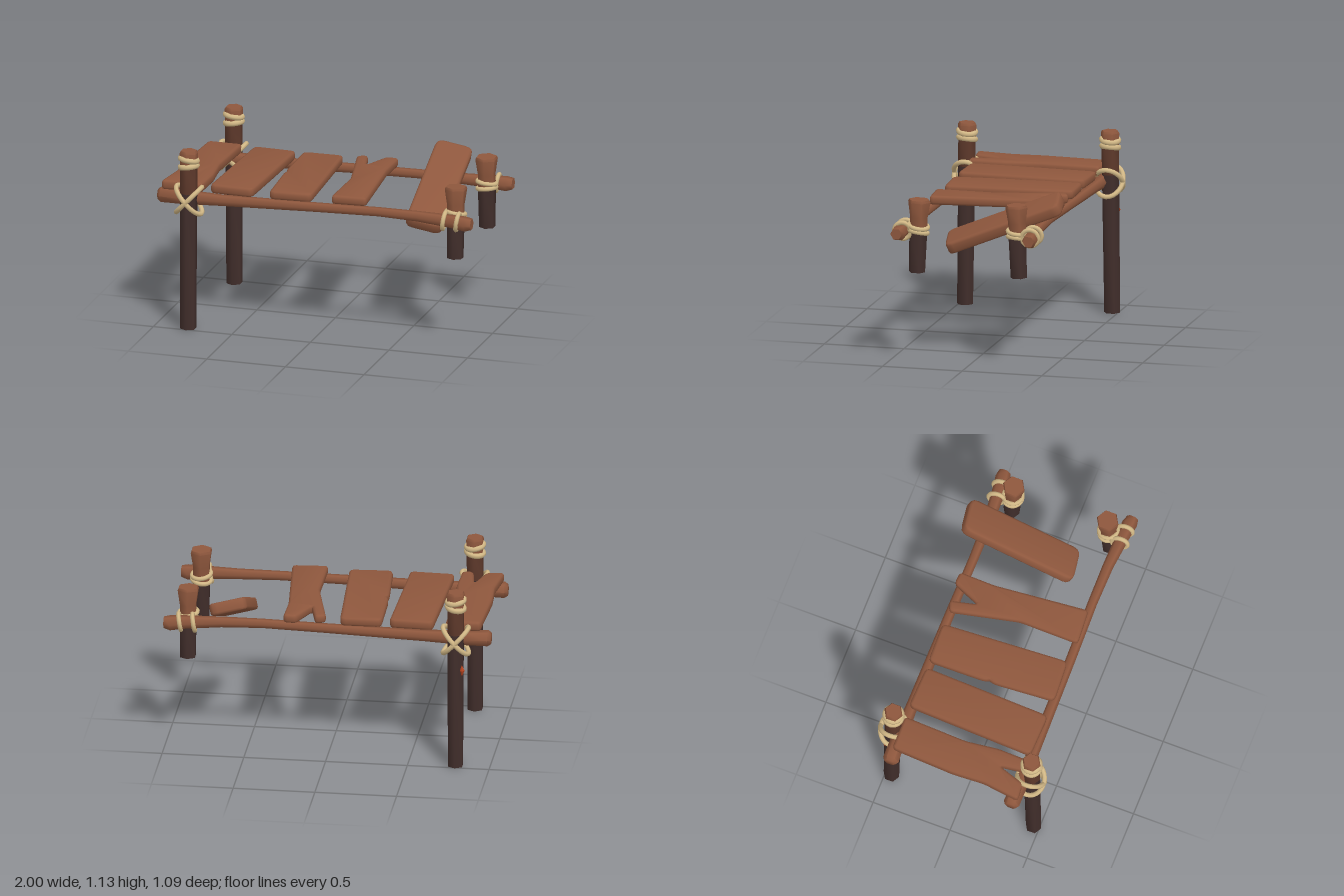
import * as THREE from 'three';
import { toCreasedNormals } from 'three/addons/utils/BufferGeometryUtils.js';

const material = (name, color) => {
  const m = new THREE.MeshStandardMaterial({ color });
  m.name = name;
  return m;
};

export function createModel() {
  const model = new THREE.Group();
  model.name = 'brokenDock';
  const wood = material('warm wood', 0x8e573d);
  const midWood = material('damp wood', 0x5e392b);
  const darkWood = material('soaked wood', 0x412e2b);
  const ropeTan = material('rope', 0xd2b886);
  const red = material('red', 0xb5431f);

  const add = (parent, name, geometry, mat) => {
    const mesh = new THREE.Mesh(geometry, mat);
    mesh.name = name;
    parent.add(mesh);
    return mesh;
  };

  // Six-sided turned section from [radius, y] points, closed at both ends
  const turned = (points) => {
    const profile = [[0, points[0][1]], ...points, [0, points[points.length - 1][1]]];
    const g = new THREE.LatheGeometry(profile.map(([r, y]) => new THREE.Vector2(r, y)), 6);
    return toCreasedNormals(g, 1.1);
  };

  // Closed rope loop: an ellipse spanned by the half axes u and v
  const rope = (parent, name, c, u, v, thickness) => {
    const points = [];
    for (let i = 0; i < 12; i++) {
      const a = (i / 12) * Math.PI * 2;
      points.push(new THREE.Vector3(...c.map((k, j) => k + u[j] * Math.cos(a) + v[j] * Math.sin(a))));
    }
    const curve = new THREE.CatmullRomCurve3(points, true);
    add(parent, name, new THREE.TubeGeometry(curve, 28, thickness, 7, true), ropeTan);
  };

  // Rounded plank from an [x, z] outline, centred on y = 0
  const plank = (name, outline, thickness, radius = 0.035) => {
    const p = outline.map(([x, z]) => new THREE.Vector2(x, z));
    const shape = new THREE.Shape();
    p.forEach((corner, i) => {
      const toward = (q) => {
        const d = q.clone().sub(corner);
        return corner.clone().add(d.setLength(Math.min(radius, d.length() * 0.45)));
      };
      const a = toward(p[(i + p.length - 1) % p.length]);
      const b = toward(p[(i + 1) % p.length]);
      if (i === 0) shape.moveTo(a.x, a.y);
      else shape.lineTo(a.x, a.y);
      shape.quadraticCurveTo(corner.x, corner.y, b.x, b.y);
    });
    const bevel = 0.016;
    const g = new THREE.ExtrudeGeometry(shape, {
      depth: thickness - 2 * bevel, bevelSize: bevel, bevelThickness: bevel,
      bevelOffset: -bevel, bevelSegments: 2, curveSegments: 3,
    });
    g.translate(0, 0, bevel - thickness / 2).rotateX(Math.PI / 2);
    return add(model, name, toCreasedNormals(g, 0.8), wood);
  };

  // Rail stations: x, y, z, radius
  const stations = [
    [-1, 0.815, 0.392, 0.036], [-0.98, 0.815, 0.392, 0.05], [-0.85, 0.813, 0.397, 0.046],
    [-0.6, 0.815, 0.397, 0.036], [0, 0.83, 0.395, 0.03], [0.4, 0.838, 0.388, 0.029],
    [0.65, 0.835, 0.39, 0.033], [0.88, 0.828, 0.405, 0.042], [0.96, 0.822, 0.412, 0.047],
    [1, 0.825, 0.415, 0.036],
  ];
  const rail = (side) => {
    const n = stations.length - 1;
    const g = new THREE.CylinderGeometry(1, 1, 1, 6, n).rotateZ(-Math.PI / 2);
    const pos = g.attributes.position;
    for (let i = 0; i < pos.count; i++) {
      const [x, y, z, r] = stations[Math.round((pos.getX(i) + 0.5) * n)];
      pos.setXYZ(i, x, y + pos.getY(i) * r, side * z + pos.getZ(i) * r);
    }
    add(model, side > 0 ? 'frontRail' : 'backRail', toCreasedNormals(g, 1.1), wood);
  };

  for (const side of [1, -1]) {
    const where = side > 0 ? 'front' : 'back';
    rail(side);

    // Tall post, soaked below and dry at the top
    const tall = new THREE.Group();
    tall.name = where + 'TallPost';
    tall.position.set(-0.79, 0, side * 0.462);
    tall.rotation.x = -side * 0.012;
    model.add(tall);
    add(tall, 'postBase', turned([[0.05, 0], [0.054, 0.86]]), darkWood);
    add(tall, 'postMiddle', turned([[0.054, 0.86], [0.055, 1.03]]), midWood);
    add(tall, 'postTop', turned([[0.055, 1.03], [0.058, 1.115], [0.05, 1.13]]), wood);
    rope(tall, 'lowerCollarRope', [0, 1.03, 0], [0.05, 0.008, 0], [0, 0.004, 0.05], 0.018);
    rope(tall, 'upperCollarRope', [0, 1.073, 0], [0.05, -0.008, 0], [0, 0.006, 0.05], 0.018);

    // Crossed lashing around tall post and rail
    for (const s of [1, -1]) {
      rope(model, where + 'CrossLashing', [-0.79, 0.815, side * 0.445],
        [0.078, s * 0.083, 0], [0, 0, 0.084], 0.015);
    }

    // Short flared post
    const short = new THREE.Group();
    short.name = where + 'ShortPost';
    short.position.set(0.865, 0.57, side * 0.32);
    short.rotation.x = -side * 0.035;
    model.add(short);
    add(short, 'stumpBase', turned([[0.051, 0], [0.056, 0.25]]), darkWood);
    add(short, 'stumpTop', turned([[0.056, 0.25], [0.055, 0.34], [0.07, 0.435], [0.064, 0.45]]), wood);
    rope(short, 'lowerStumpRope', [0, 0.25, 0], [0.057, 0.007, 0], [0, 0.007, 0.057], 0.014);
    rope(short, 'upperStumpRope', [0, 0.285, 0], [0.057, -0.007, 0], [0, 0.009, 0.057], 0.014);

    // Loops around the rail beside the short post
    for (const x of [0.82, 0.905]) {
      rope(model, where + 'RailLoop', [x, 0.828, side * 0.4],
        [0.008, 0.052, 0], [0.005, 0, 0.05], 0.014);
    }
  }

  // Deck planks, two of them split at one end
  plank('splitPlankA', [
    [-0.935, -0.4], [-0.72, -0.4], [-0.735, 0], [-0.71, 0.2], [-0.715, 0.42], [-0.785, 0.43],
    [-0.81, 0.25], [-0.865, 0.42], [-0.975, 0.43], [-0.945, 0.2], [-0.955, 0],
  ], 0.06, 0.025).position.y = 0.885;
  plank('plankB', [[-0.645, -0.405], [-0.375, -0.395], [-0.4, 0.405], [-0.675, 0.395]], 0.058)
    .position.y = 0.878;
  plank('plankC', [
    [-0.33, -0.4], [-0.075, -0.405], [-0.03, 0.39], [-0.295, 0.405], [-0.322, 0.02], [-0.31, -0.01],
    [-0.325, -0.04],
  ], 0.055).position.y = 0.878;
  plank('splitPlankD', [
    [0.01, -0.395], [0.075, -0.42], [0.115, -0.25], [0.19, -0.43], [0.27, -0.425], [0.265, -0.2],
    [0.32, 0.39], [0.1, 0.405], [0.105, 0.03], [0.065, -0.15],
  ], 0.055, 0.025).position.y = 0.888;

  // Loose plank that has slipped off the front rail
  const loose = plank('loosePlank', [[-0.118, -0.375], [0.112, -0.385], [0.118, 0.375], [-0.112, 0.385]], 0.075, 0.05);
  loose.position.set(0.607, 0.845, -0.163);
  loose.rotation.set(0.385, 0.02, -0.26);

  // Small red scrap on the back tall post
  const scrap = add(model, 'redScrap', new THREE.OctahedronGeometry(0.025, 0), red);
  scrap.position.set(-0.832, 0.632, -0.485);
  scrap.scale.set(0.7, 1.4, 0.7);

  return model;
}
